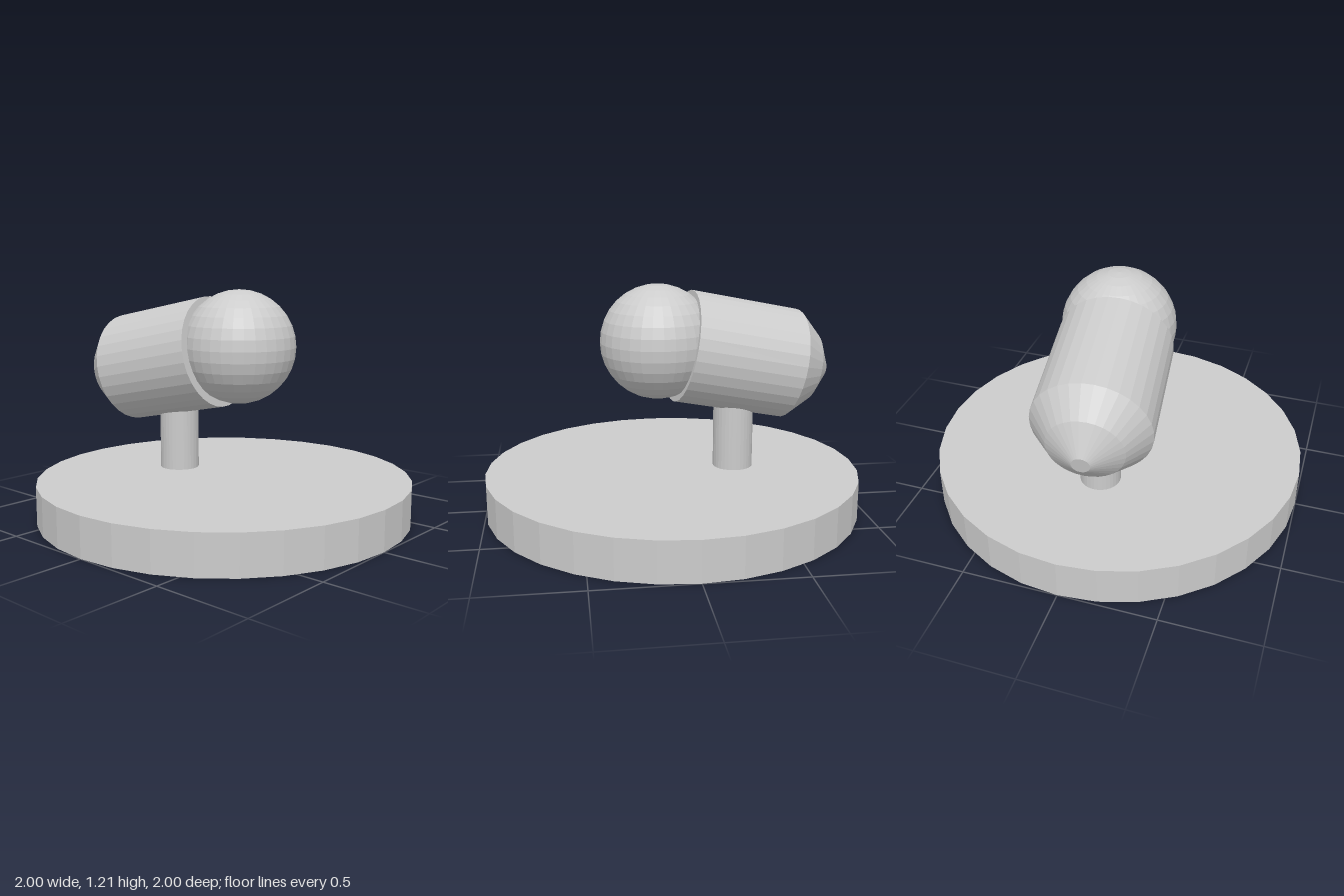
import * as THREE from 'three';

const SIDES = 32;

export function createModel() {
  const model = new THREE.Group();
  model.name = 'mountedCapsule';
  const material = new THREE.MeshStandardMaterial({ color: 0xcccccc, flatShading: true });

  const add = (name, geometry, x, y, z, parent = model) => {
    const mesh = new THREE.Mesh(geometry, material);
    mesh.name = name;
    mesh.position.set(x, y, z);
    parent.add(mesh);
    return mesh;
  };
  const lathe = (points) =>
    new THREE.LatheGeometry(points.map(([r, y]) => new THREE.Vector2(r, y)), SIDES);

  // Round base and the post standing behind its centre
  add('base', new THREE.CylinderGeometry(1, 1, 0.207, SIDES), 0, 0.1035, 0);
  add('post', new THREE.CylinderGeometry(0.107, 0.107, 0.5, SIDES), 0, 0.455, -0.335);

  // Upright ball set into the front of the body
  add('ball', new THREE.SphereGeometry(0.3, SIDES, 16), 0.028, 0.908, 0.08);

  // Tilted body: local +y runs from the front rim to the nose
  const body = new THREE.Group();
  body.name = 'body';
  body.position.set(0.002, 0.876, -0.055);
  const axis = new THREE.Vector3(-0.108, -0.2, -0.975).normalize();
  body.quaternion.setFromUnitVectors(new THREE.Vector3(0, 1, 0), axis);
  model.add(body);

  add('barrel', new THREE.CylinderGeometry(0.298, 0.298, 0.6, SIDES), 0, 0.3, 0, body);
  // Faceted nose ending in a small flat tip
  add('nose', lathe([[0.298, 0], [0.19, 0.13], [0.045, 0.223], [0, 0.223]]), 0, 0.6, 0, body);

  return model;
}
